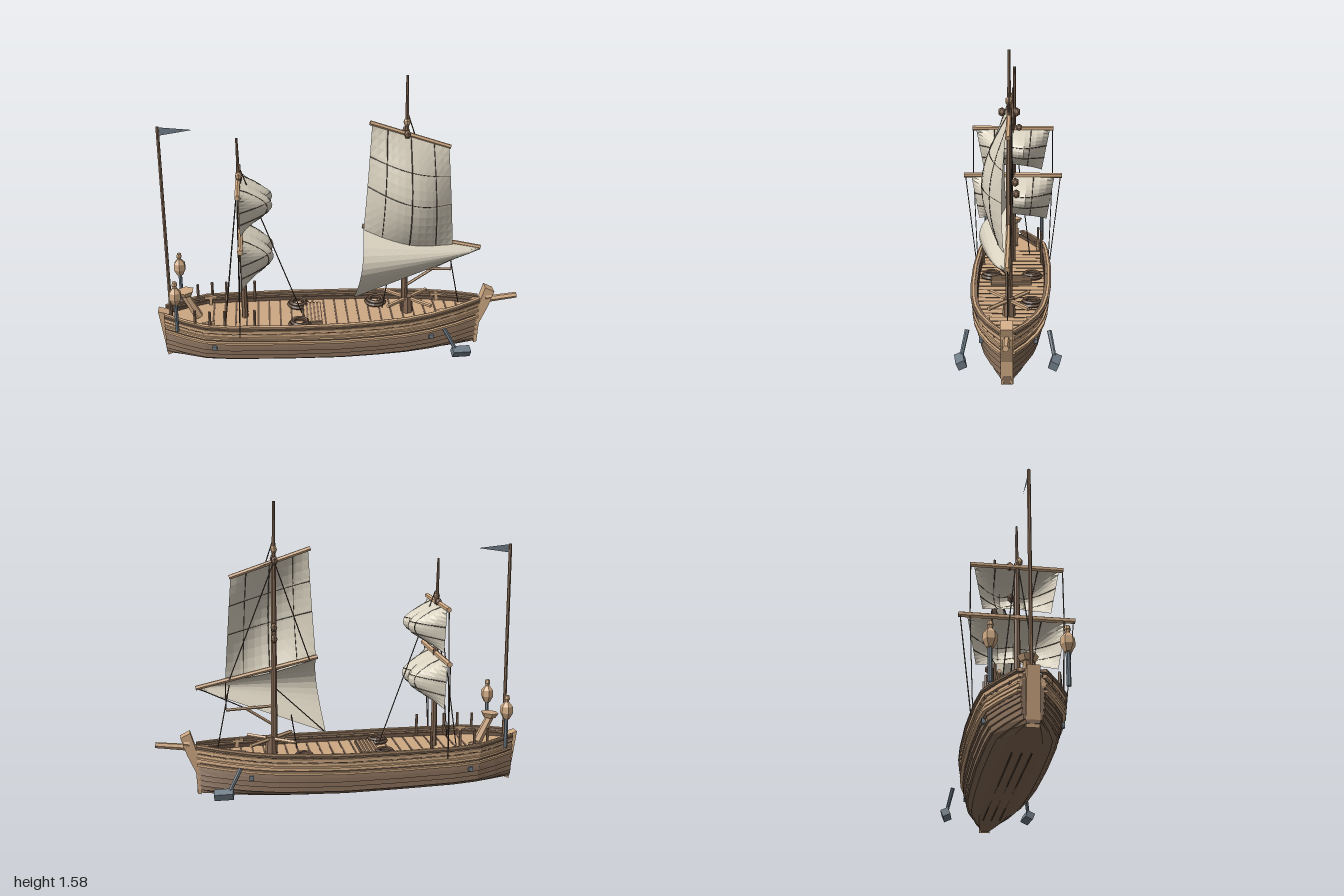
import * as THREE from 'three';

const V = (x, y, z) => new THREE.Vector3(x, y, z);
const lerp = THREE.MathUtils.lerp;
const paint = (name, color, extra = {}) => new THREE.MeshStandardMaterial({ name, color, ...extra });

export function createModel() {
  const ship = new THREE.Group();
  ship.name = 'sailingShip';
  const tan = paint('lightWood', 0xcfa983), brown = paint('hullWood', 0x846b57);
  const dark = paint('darkWood', 0x675243), mastWood = paint('mastWood', 0x866a55);
  const rope = paint('rope', 0x54483f), steel = paint('steel', 0x707d88, { side: THREE.DoubleSide });
  const cloth = paint('sailCloth', 0xdbd3c1, { side: THREE.DoubleSide });

  // Helpers: every part is facetted
  const add = (name, geo, mat, parent = ship) => {
    const g = geo.index ? geo.toNonIndexed() : geo;
    g.computeVertexNormals();
    const m = new THREE.Mesh(g, mat);
    m.name = name;
    parent.add(m);
    return m;
  };
  const box = (name, mat, w, h, d, x, y, z) => {
    const m = add(name, new THREE.BoxGeometry(w, h, d), mat);
    m.position.set(x, y, z);
    return m;
  };
  const rod = (name, a, b, r0, r1, mat, sides = 7) => {
    const dir = b.clone().sub(a);
    const m = add(name, new THREE.CylinderGeometry(r1, r0, dir.length(), sides), mat);
    m.position.copy(a).add(b).multiplyScalar(0.5);
    m.quaternion.setFromUnitVectors(V(0, 1, 0), dir.normalize());
    return m;
  };
  const line = (name, a, b) => rod(name, a, b, 0.003, 0.003, rope, 4);
  const table = (pts, x) => {
    let i = 1;
    while (i < pts.length - 1 && x > pts[i][0]) i++;
    const [a, b] = [pts[i - 1], pts[i]];
    return lerp(a[1], b[1], THREE.MathUtils.clamp((x - a[0]) / (b[0] - a[0]), 0, 1));
  };

  // Hull form: x along the ship, t from keel (0) to sheer (1)
  const beam = [[-0.965, 0.05], [-0.85, 0.122], [-0.74, 0.178], [-0.6, 0.195], [-0.3, 0.206], [0, 0.202],
    [0.2, 0.19], [0.36, 0.17], [0.5, 0.139], [0.65, 0.086], [0.785, 0.02]];
  const stations = beam.map(p => p[0]);
  const shape = [[0, 0.4], [0.06, 0.62], [0.15, 0.8], [0.5, 0.94], [1, 1]];
  const sheer = [[-0.965, 0.29], [-0.6, 0.275], [0, 0.27], [0.4, 0.277], [0.785, 0.305]];
  const keel = [[-0.965, 0.035], [-0.6, 0.02], [0, 0.008], [0.4, 0.014], [0.785, 0.032]];
  const hy = (x, t) => lerp(table(keel, x), table(sheer, x), t);
  const hw = (x, t) => table(beam, x) * table(shape, t);

  // Joins one ring per station into a closed solid
  const sweep = rings => {
    const n = rings[0].length, last = (rings.length - 1) * n, idx = [];
    for (let i = 0; i < rings.length - 1; i++) for (let j = 0; j < n; j++) {
      const a = i * n + j, b = i * n + (j + 1) % n;
      idx.push(a, b, b + n, a, b + n, a + n);
    }
    for (let j = 1; j < n - 1; j++) idx.push(0, j + 1, j, last, last + j, last + j + 1);
    const g = new THREE.BufferGeometry();
    g.setAttribute('position', new THREE.Float32BufferAttribute(rings.flat(2), 3));
    g.setIndex(idx);
    return g;
  };
  const DECK = 0.8;
  const ts = [DECK, 0.5, 0.15, 0.06, 0];
  add('hullCore', sweep(stations.map(x => [
    ...ts.map(t => [x, hy(x, t), hw(x, t)]),
    ...[...ts].reverse().map(t => [x, hy(x, t), -hw(x, t)])])), brown);
  add('deck', sweep(stations.map(x => {
    const w = hw(x, DECK) - 0.004, y = hy(x, DECK);
    return [[x, y + 0.004, w], [x, y - 0.01, w], [x, y - 0.01, -w], [x, y + 0.004, -w]];
  })), tan);

  // Strakes, wales and rails: t range, overhang at top and bottom, thickness
  const strakes = [
    ['bottomStrake', 0.0, 0.07, 0.001, 0.008, 0.012, brown], ['bilgeStrake', 0.07, 0.16, 0.001, 0.01, 0.014, brown],
    ['lowerStrake', 0.16, 0.27, 0.001, 0.011, 0.014, brown], ['middleStrake', 0.27, 0.38, 0.001, 0.011, 0.014, brown],
    ['upperStrake', 0.38, 0.48, 0.001, 0.011, 0.014, brown], ['sideStrake', 0.48, 0.56, 0.001, 0.008, 0.012, brown],
    ['lowerSeam', 0.55, 0.67, 0.003, 0.003, 0.008, dark], ['upperSeam', 0.79, 0.84, 0.003, 0.003, 0.008, dark],
    ['lowerWale', 0.565, 0.615, 0.019, 0.019, 0.024, tan],
    ['topStrake', 0.655, 0.8, 0.006, 0.01, 0.018, tan], ['upperWale', 0.71, 0.745, 0.017, 0.018, 0.022, tan],
    ['bulwark', 0.83, 0.9, 0.013, 0.013, 0.018, tan], ['bulwarkLining', 0.8, 0.89, -0.006, -0.006, 0.012, dark],
    ['rubbingRail', 0.93, 0.965, 0.021, 0.021, 0.026, brown],
    ['capRail', 0.945, 1.0, 0.012, 0.012, 0.015, tan], ['innerRail', 0.935, 0.985, -0.003, -0.003, 0.014, brown]];
  for (const [name, t0, t1, o1, o0, thick, mat] of strakes) for (const s of [1, -1]) {
    add(name, sweep(stations.map(x => {
      const a = hw(x, t1), b = hw(x, t0), y1 = hy(x, t1), y0 = hy(x, t0), inn = z => Math.max(z, 0.001);
      const r = [[x, y1, s * (a + o1)], [x, y0, s * (b + o0)],
        [x, y0, s * inn(b + o0 - thick)], [x, y1, s * inn(a + o1 - thick)]];
      return s > 0 ? r : r.reverse();
    })), mat);
  }
  // Keel timbers along the bottom
  for (const z of [-0.045, 0, 0.045]) box('bottomSeam', dark, 1.1, 0.006, 0.006, -0.1, 0.012, z);
  // Stanchions under the rail and deck seams
  for (let x = -0.9; x < 0.75; x += 0.08) for (const s of [1, -1])
    box('railStanchion', brown, 0.026, 0.05, 0.012, x, hy(x, 0.89), s * hw(x, 0.9));
  for (let x = -0.7; x < 0.68; x += 0.062)
    box('deckSeam', dark, 0.01, 0.006, 2 * hw(x, DECK) - 0.03, x, hy(x, DECK) + 0.003, 0);

  // Stem and stern posts cut from side outlines
  const slab = (name, pts, depth, mat) => {
    const g = new THREE.ExtrudeGeometry(new THREE.Shape(pts.map(p => new THREE.Vector2(...p))), { depth, bevelEnabled: false });
    g.translate(0, 0, -depth / 2);
    return add(name, g, mat);
  };
  slab('stemPost', [[0.765, 0.025], [0.782, 0.03], [0.79, 0.15], [0.835, 0.25], [0.867, 0.345], [0.815, 0.372],
    [0.79, 0.29], [0.765, 0.2]], 0.06, tan);
  slab('sternPost', [[-0.96, 0.018], [-0.935, 0.03], [-0.94, 0.275], [-1, 0.292]], 0.06, tan);
  rod('bowsprit', V(0.74, 0.275, 0), V(1, 0.306, 0), 0.02, 0.016, tan, 6);
  rod('bowspritCollar', V(0.82, 0.31, 0), V(0.85, 0.314, 0), 0.038, 0.036, tan, 6);

  // Tiller post with its broad head
  rod('tillerPost', V(-0.78, 0.24, 0), V(-0.85, 0.38, 0), 0.026, 0.022, tan, 6);
  rod('tillerHead', V(-0.845, 0.375, 0), V(-0.847, 0.402, 0), 0.035, 0.05, tan, 6);

  // Deck fittings
  box('hatch', brown, 0.1, 0.02, 0.23, -0.15, 0.232, 0);
  for (let i = -2; i <= 2; i++) box('hatchSlat', tan, 0.01, 0.008, 0.22, -0.15 + i * 0.02, 0.242, 0);
  for (const [x, z] of [[-0.225, 0.115], [-0.225, -0.115], [0.215, -0.115]])
    for (let i = 0; i < 2; i++) {
      const coil = add('ropeCoil', new THREE.TorusGeometry(0.052 - i * 0.012, 0.011, 5, 14), dark);
      coil.rotation.x = Math.PI / 2;
      coil.position.set(x, 0.235 + i * 0.014, z);
    }
  for (const s of [1, -1]) {
    for (const x of [-0.79, -0.71, -0.63, -0.47]) {
      const z = s * Math.min(hw(x, 1), 0.172);
      rod('belayingPost', V(x, 0.23, z), V(x, 0.358, z), 0.008, 0.008, mastWood, 5);
    }
    for (const [x, z] of [[-0.72, 0.15], [0.56, 0.1]]) {
      box('bollard', tan, 0.018, 0.06, 0.018, x, 0.255, s * z);
      box('bollardBar', tan, 0.07, 0.014, 0.016, x, 0.275, s * z);
    }
    for (const x of [-0.69, 0.5]) box('hawseFrame', steel, 0.024, 0.024, 0.034, x, 0.14, s * hw(x, 0.5));

    // Stern lantern
    const lz = s * 0.175, lx = -0.885;
    rod('lanternPost', V(lx, 0.25, lz), V(lx, 0.425, lz), 0.011, 0.011, steel, 6);
    const lantern = add('lantern', new THREE.LatheGeometry([[0.001, 0.41], [0.018, 0.415], [0.036, 0.45], [0.033, 0.485],
      [0.012, 0.51], [0.012, 0.52], [0.016, 0.525], [0.012, 0.545], [0.001, 0.547]].map(p => new THREE.Vector2(...p)), 6), tan);
    lantern.position.set(lx, 0, lz);

    // Anchor
    rod('anchorShank', V(0.56, 0.22, s * 0.205), V(0.625, 0.1, s * 0.232), 0.012, 0.01, steel, 6);
    const fluke = box('anchorFluke', steel, 0.1, 0.04, 0.045, 0.652, 0.092, s * 0.233);
    fluke.rotation.set(s * 0.4, s * 0.12, -0.12);
  }
  // Capstan with crossed bars
  rod('capstan', V(0.38, 0.22, 0), V(0.38, 0.325, 0), 0.035, 0.028, mastWood, 8);
  for (const s of [1, -1]) rod('capstanBar', V(0.26, 0.315, s * 0.1), V(0.5, 0.308, -s * 0.1), 0.011, 0.011, tan, 5);

  // Masts, flagpole and pennant
  rod('foremast', V(0.365, 0.21, 0), V(0.355, 1.3, 0), 0.019, 0.013, mastWood);
  rod('foreTopmast', V(0.355, 1.25, 0), V(0.35, 1.59, 0), 0.011, 0.007, mastWood);
  rod('mizzenMast', V(-0.525, 0.21, 0), V(-0.53, 1.06, 0), 0.018, 0.013, mastWood);
  rod('mizzenTopmast', V(-0.53, 1.04, 0), V(-0.533, 1.275, 0), 0.01, 0.006, mastWood);
  rod('flagpole', V(-0.932, 0.25, 0), V(-0.933, 1.345, 0), 0.01, 0.009, mastWood, 6);
  add('pennant', new THREE.ShapeGeometry(new THREE.Shape([[-0.93, 1.298], [-0.755, 1.325], [-0.93, 1.343]]
    .map(p => new THREE.Vector2(...p)))), steel);
  for (const [x, y, z, mat] of [[0.353, 1.285, 0.036, mastWood], [0.353, 1.285, -0.036, mastWood], [0.353, 1.34, 0, tan],
    [0.36, 0.87, -0.035, mastWood], [0.36, 0.93, -0.03, mastWood], [-0.53, 1.07, 0.012, tan],
    [-0.53, 1.04, -0.035, mastWood], [-0.53, 0.86, -0.03, mastWood]]) {
    const b = add('pulleyBlock', new THREE.IcosahedronGeometry(0.02, 0), mat);
    b.scale.y = 1.25;
    b.position.set(x, y, z);
  }

  // Sails: a grid moved by f(u, v), with v running down; sewn seams follow the cloth
  const sail = (name, f, us, vs, nx = 12, ny = 12) => {
    const g = new THREE.PlaneGeometry(1, 1, nx, ny), p = g.attributes.position;
    for (let i = 0; i < p.count; i++) p.setXYZ(i, ...f(p.getX(i) + 0.5, 0.5 - p.getY(i)).toArray());
    add(name, g, cloth);
    const seam = at => add(name + 'Seam', new THREE.TubeGeometry(
      new THREE.CatmullRomCurve3(Array.from({ length: 13 }, (_, i) => at(i / 12))), 24, 0.0025, 4), rope);
    us.forEach(u => seam(k => f(u, k)));
    vs.forEach(v => seam(k => f(k, v)));
  };
  sail('foreSail', (u, v) => V(
    lerp(lerp(0.17, 0.58, u), lerp(0.13, 0.62, u), v),
    lerp(lerp(1.33, 1.195, u), lerp(0.74, 0.64, u) - 0.03 * Math.sin(Math.PI * u), v),
    0.012 + 0.125 * Math.sin(Math.PI * v * 0.86) * (0.15 + 0.85 * Math.sin(Math.PI * u))), [0.2, 0.5, 0.8], [0.28, 0.56]);
  sail('foreLowerSail', (u, v) => V(
    lerp(lerp(0.13, 0.77, u), lerp(0.08, 0.77, u), v),
    lerp(lerp(0.75, 0.61, u), lerp(0.33, 0.6, u), v),
    0.012 + 0.155 * Math.sin(Math.PI * Math.pow(v, 0.8)) * Math.pow(1 - u, 0.6)), [], []);
  const squareSail = (name, top, bottom, w0, w1) => sail(name, (u, v) => {
    const k = 2 * u - 1;
    const belly = Math.sin(Math.PI * Math.pow(v, 0.9) * 0.9) * (1 - k * k) * (0.75 + 0.25 * Math.min(1, Math.abs(k) * 3));
    return V(-0.53 + 0.195 * belly, lerp(top, bottom + 0.04 * (1 - k * k), v), k * lerp(w0, w1, v));
  }, [0.25, 0.75], [0.4, 0.7]);
  squareSail('mizzenUpperSail', 1.03, 0.79, 0.215, 0.17);
  squareSail('mizzenLowerSail', 0.75, 0.49, 0.245, 0.2);

  // Yards and booms
  rod('foreYard', V(0.16, 1.342, 0), V(0.588, 1.198, 0), 0.013, 0.013, tan, 6);
  rod('foreBoom', V(0.125, 0.758, 0), V(0.778, 0.61, 0), 0.013, 0.013, tan, 6);
  rod('foreSpreader', V(0.36, 0.495, 0), V(0.62, 0.482, 0), 0.008, 0.008, tan, 6);
  rod('foreBrace', V(0.37, 0.39, 0), V(0.52, 0.49, 0), 0.008, 0.008, tan, 6);
  rod('mizzenUpperYard', V(-0.535, 1.035, -0.235), V(-0.535, 1.035, 0.235), 0.014, 0.014, tan, 6);
  rod('mizzenLowerYard', V(-0.53, 0.755, -0.288), V(-0.53, 0.755, 0.288), 0.015, 0.015, tan, 6);

  // Rigging
  const foreTop = V(0.353, 1.28, -0.012);
  for (const end of [V(0.6, 0.65, -0.01), V(0.17, 0.745, -0.01), V(0.48, 1.235, -0.008)]) line('foreLift', foreTop, end);
  line('topLift', V(0.353, 1.4, 0), V(0.4, 1.26, 0));
  line('foreSheet', V(0.27, 0.44, 0), V(0.24, 0.25, 0));
  line('boomStay', V(0.6, 0.62, 0), V(0.67, 0.27, 0));
  line('boomBrace', V(0.5, 0.48, 0), V(0.77, 0.61, 0));
  line('spreaderLift', V(0.62, 0.482, 0), V(0.62, 0.64, 0));
  line('clewLine', V(0.09, 0.34, 0), V(0.36, 0.6, -0.01));
  line('mizzenStay', V(-0.52, 1.1, 0), V(-0.21, 0.24, 0));
  for (const s of [1, -1]) {
    line('mizzenShroud', V(-0.53, 1.1, 0), V(-0.63, 0.24, s * 0.1));
    line('upperYardBrace', V(-0.535, 1.03, s * 0.232), V(-0.54, 0.755, s * 0.232));
    line('yardBrace', V(-0.54, 0.755, s * 0.232), V(-0.55, 0.26, s * 0.215));
    line('lowerYardBrace', V(-0.535, 0.75, s * 0.28), V(-0.55, 0.22, s * 0.222));
  }
  return ship;
}
